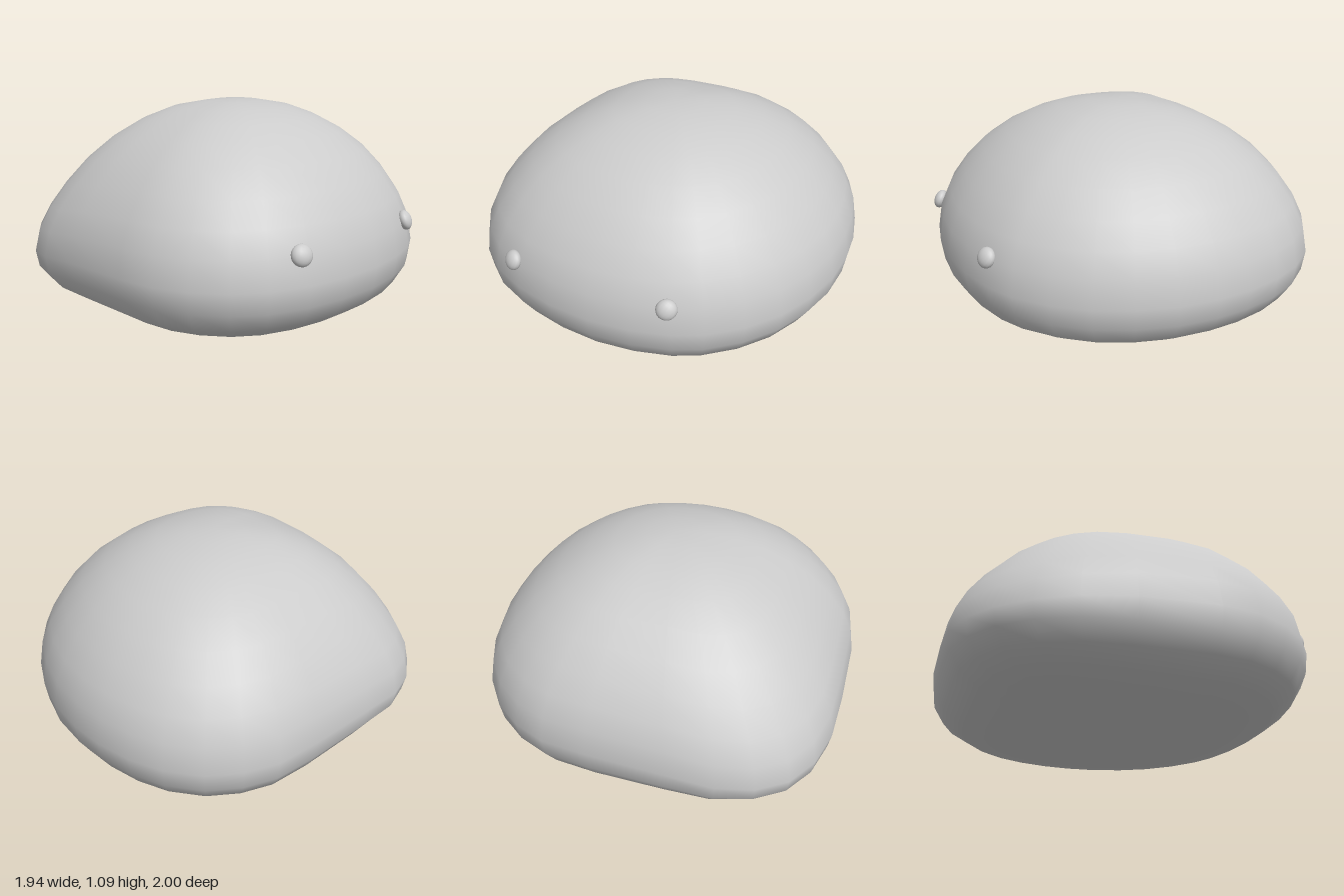
import * as THREE from 'three';
import { mergeVertices } from 'three/addons/utils/BufferGeometryUtils.js';

const material = new THREE.MeshStandardMaterial({ color: 0xcccccc });

// Plan of the body at its widest, as x, z pairs
const outline = [
  [0.2, 0.995], [0.4, 0.97], [0.57, 0.9], [0.72, 0.79], [0.83, 0.65], [0.91, 0.46],
  [0.955, 0.25], [0.97, 0.02], [0.945, -0.2], [0.89, -0.4], [0.82, -0.54], [0.69, -0.7],
  [0.53, -0.83], [0.35, -0.92], [0.15, -0.98], [-0.06, -1], [-0.24, -0.99], [-0.43, -0.95],
  [-0.6, -0.88], [-0.76, -0.76], [-0.87, -0.61], [-0.94, -0.44], [-0.965, -0.2], [-0.97, 0.2],
  [-0.96, 0.46], [-0.9, 0.65], [-0.8, 0.8], [-0.65, 0.905], [-0.46, 0.965], [-0.2, 0.985],
];

// Side profile: share of the plan's width against height
const profile = [
  [0, 0], [0.3, 0.006], [0.62, 0.022], [0.81, 0.055], [0.925, 0.13], [0.985, 0.23], [1, 0.34],
  [0.975, 0.48], [0.92, 0.6], [0.835, 0.72], [0.725, 0.835], [0.595, 0.93], [0.455, 1.003],
  [0.31, 1.055], [0.15, 1.083], [0, 1.09],
];

function bodyGeometry() {
  const n = outline.length;
  const lathe = new THREE.LatheGeometry(profile.map(([s, y]) => new THREE.Vector2(s, y)), n);
  const pos = lathe.attributes.position;
  for (let i = 0; i < pos.count; i++) {
    const [s, y] = profile[i % profile.length];
    const [x, z] = outline[Math.floor(i / profile.length) % n];
    // the front right corner sags into a lower, more pointed shape
    const toCorner = Math.max(0, (z * 0.7 - x * 0.72) / Math.hypot(x, z));
    const sag = 1 - 0.2 * toCorner ** 8 * s ** 3;
    pos.setXYZ(i, x * s, y * sag, z * s);
  }
  lathe.deleteAttribute('uv');
  lathe.deleteAttribute('normal');
  const geometry = mergeVertices(lathe);
  geometry.computeVertexNormals();
  return geometry;
}

export function createModel() {
  const model = new THREE.Group();
  model.name = 'blobCreature';

  const body = new THREE.Mesh(bodyGeometry(), material);
  body.name = 'body';
  model.add(body);

  // Two slightly flattened bead eyes lying against the surface
  const bead = new THREE.SphereGeometry(0.053, 16, 12);
  bead.scale(1, 1, 0.65);
  const eyes = [
    ['leftEye', -0.37, new THREE.Vector3(0.86, 0.38, -0.38)],
    ['rightEye', 0.495, new THREE.Vector3(0.86, 0.38, 0.4)],
  ];
  for (const [name, z, outward] of eyes) {
    const eye = new THREE.Mesh(bead, material);
    eye.name = name;
    eye.position.set(0.88, 0.487, z);
    eye.quaternion.setFromUnitVectors(new THREE.Vector3(0, 0, 1), outward.normalize());
    model.add(eye);
  }
  return model;
}
